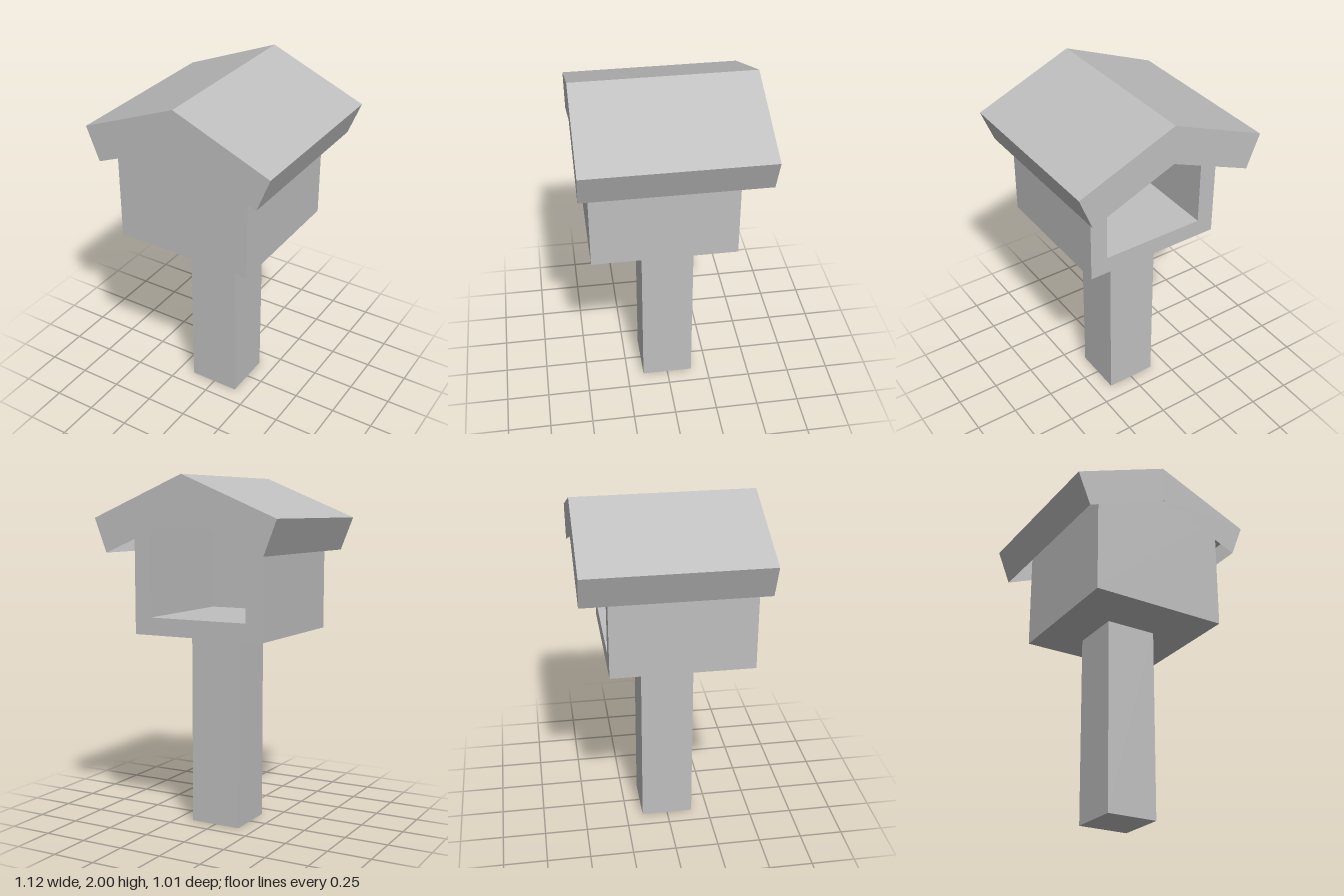
import * as THREE from 'three';

export function createModel() {
  const group = new THREE.Group();
  const grey = new THREE.MeshStandardMaterial({ color: 0xbfbfbf });
  grey.name = 'plain grey';
  grey.side = THREE.DoubleSide;

  const add = (name, geometry, x = 0, y = 0, z = 0) => {
    const mesh = new THREE.Mesh(geometry, grey);
    mesh.name = name;
    mesh.position.set(x, y, z);
    group.add(mesh);
    return mesh;
  };

  const rectangle = (Path, x, y0, y1) =>
    new Path([[-x, y0], [x, y0], [x, y1], [-x, y1]].map(([a, b]) => new THREE.Vector2(a, b)));

  // Square post
  const floor = 1.115;
  add('post', new THREE.BoxGeometry(0.302, floor, 0.302), 0, floor / 2, 0);

  // Hollow house, open at the back and closed by a thick front wall
  const walls = rectangle(THREE.Shape, 0.403, floor, floor + 0.705);
  walls.holes.push(rectangle(THREE.Path, 0.302, floor + 0.1, floor + 0.604));
  add('houseWalls', new THREE.ExtrudeGeometry(walls, { depth: 0.705, bevelEnabled: false }), 0, 0, -0.352);
  add('frontWall', new THREE.BoxGeometry(0.806, 0.705, 0.1), 0, floor + 0.3525, 0.403);

  // Hollow roof: outer skin over the eaves and ridge, open underneath
  const depth = 0.507;
  const outline = [[-0.485, 1.58], [-0.56, 1.77], [0, 2], [0.56, 1.77], [0.485, 1.58]];
  const skin = [];
  for (let i = 0; i < outline.length - 1; i++) {
    const [a, b] = [outline[i], outline[i + 1]];
    skin.push(...a, depth, ...b, depth, ...b, -depth);
    skin.push(...a, depth, ...b, -depth, ...a, -depth);
  }
  const roof = new THREE.BufferGeometry();
  roof.setAttribute('position', new THREE.Float32BufferAttribute(skin, 3));
  roof.computeVertexNormals();
  add('roofSkin', roof);

  // Chevron gable boards closing both roof ends
  const chevron = new THREE.Shape([...outline, [0, 1.78]].map(([x, y]) => new THREE.Vector2(x, y)));
  add('frontGableBoard', new THREE.ShapeGeometry(chevron), 0, 0, depth);
  add('backGableBoard', new THREE.ShapeGeometry(chevron), 0, 0, -depth).rotation.y = Math.PI;

  return group;
}
